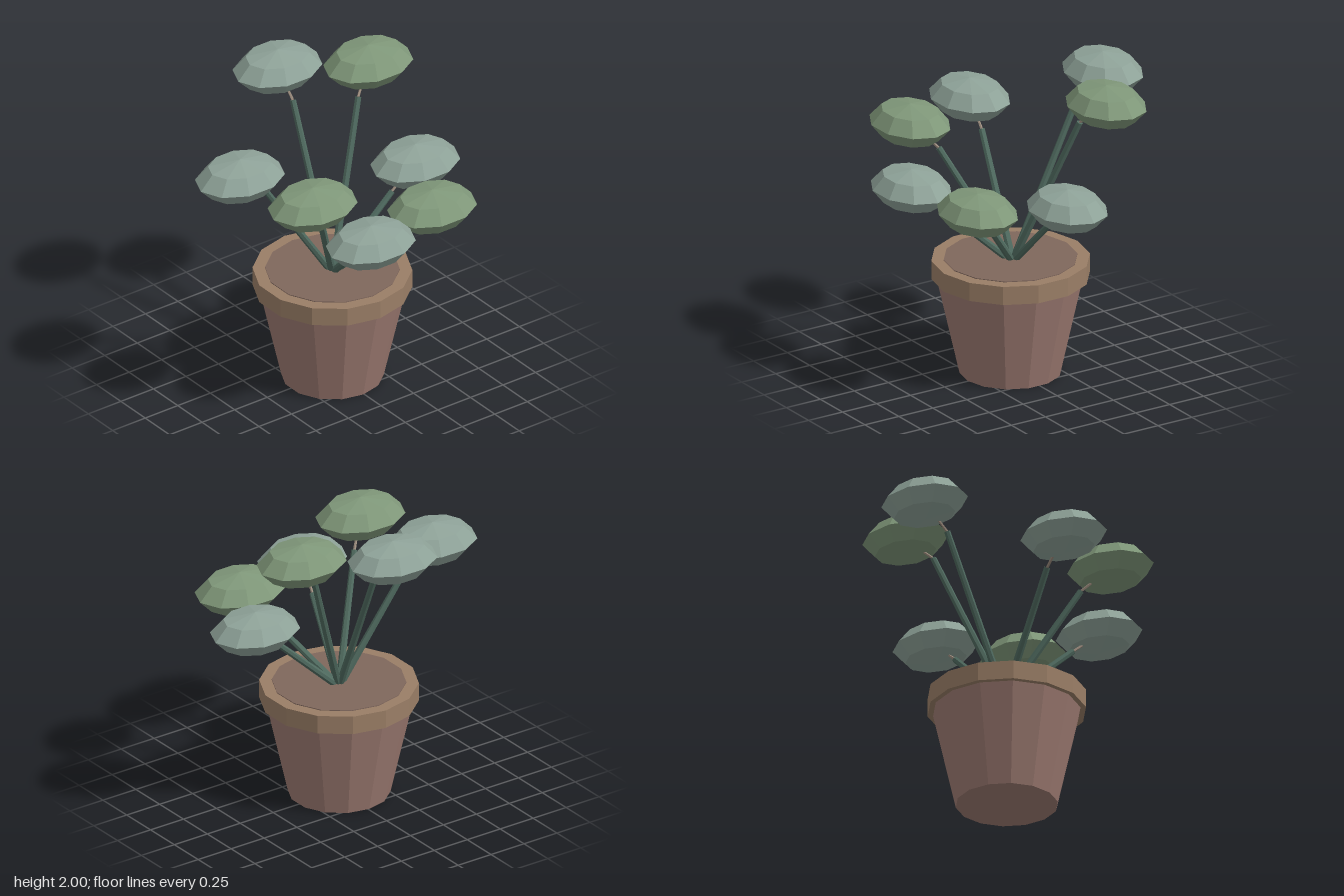
import * as THREE from 'three';

const POT_SIDES = 14;
const mat = (color) => new THREE.MeshStandardMaterial({ color, flatShading: true });
const clay = mat(0x9c7a71);
const rimClay = mat(0x9a7e66);
const earth = mat(0x7f675c);
const stemGreen = mat(0x4f6a5f);
const twigTan = mat(0x9a8a7c);
const leafColors = [mat(0x8ea298), mat(0x7f9779)];

function addMesh(parent, name, geometry, material) {
  const mesh = new THREE.Mesh(geometry, material);
  mesh.name = name;
  parent.add(mesh);
  return mesh;
}

// Tapered rod between two points
function addRod(parent, name, from, to, r0, r1, sides, material) {
  const dir = to.clone().sub(from);
  const rod = addMesh(parent, name, new THREE.CylinderGeometry(r1, r0, dir.length(), sides), material);
  rod.position.copy(from).addScaledVector(dir, 0.5);
  rod.quaternion.setFromUnitVectors(new THREE.Vector3(0, 1, 0), dir.normalize());
  return rod;
}

// Flattened faceted leaf clump on its stem
function makeBranch(x, y, z, leafMaterial) {
  const branch = new THREE.Group();
  branch.name = 'branch';
  const base = new THREE.Vector3(0, 0.72, 0);
  const tip = new THREE.Vector3(x * 0.72, y - 0.15, z * 0.72);
  const head = new THREE.Vector3(x, y, z);
  addRod(branch, 'stem', base, tip, 0.024, 0.02, 7, stemGreen);
  addRod(branch, 'twig', tip, head, 0.009, 0.007, 5, twigTan);
  const clump = addMesh(branch, 'leafClump', new THREE.SphereGeometry(1, 10, 4), leafMaterial);
  clump.scale.set(0.3, 0.125, 0.235);
  clump.position.copy(head);
  return branch;
}

export function createModel() {
  const model = new THREE.Group();
  model.name = 'pottedPlant';

  // Pot body, overhanging rim and soil
  const pot = new THREE.Group();
  pot.name = 'pot';
  pot.position.set(-0.007, 0, 0.01);
  model.add(pot);
  addMesh(pot, 'potBody', new THREE.CylinderGeometry(0.465, 0.317, 0.66, POT_SIDES), clay).position.y = 0.33;
  addMesh(pot, 'potRim', new THREE.CylinderGeometry(0.492, 0.492, 0.12, POT_SIDES), rimClay).position.y = 0.69;
  addMesh(pot, 'soil', new THREE.CylinderGeometry(0.415, 0.415, 0.02, POT_SIDES), earth).position.y = 0.745;

  // Leaf clump centres, alternating two greens around the pot
  const heads = [
    [0.05, 1.87, -0.63],
    [0.53, 1.87, -0.34],
    [0.63, 1.29, 0.01],
    [0.385, 1.29, 0.51],
    [-0.175, 1.29, 0.63],
    [-0.48, 1.58, 0.44],
    [-0.635, 1.58, -0.1],
  ];
  heads.forEach(([x, y, z], i) => model.add(makeBranch(x, y, z, leafColors[i % 2])));

  return model;
}
